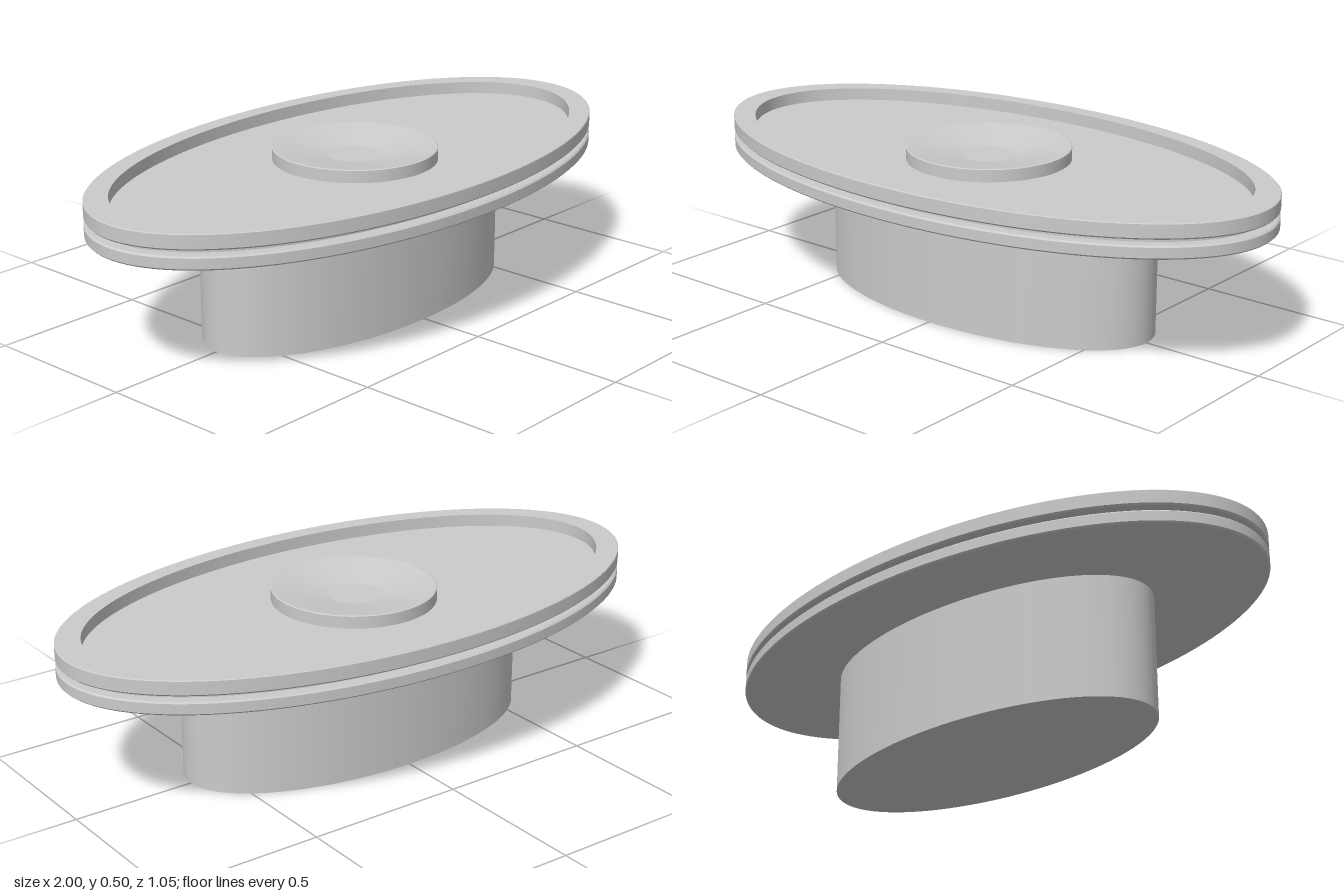
import * as THREE from 'three';
import { toCreasedNormals } from 'three/addons/utils/BufferGeometryUtils.js';

const SEG = 128;

// Skins a stack of elliptical rings [radiusX, radiusZ, y], listed from bottom centre, outward, to top centre
function ellipticLoft(rings, crease) {
  const pos = [], idx = [];
  rings.forEach(([rx, rz, y], r) => {
    for (let i = 0; i < SEG; i++) {
      const a = (i / SEG) * Math.PI * 2;
      pos.push(rx * Math.cos(a), y, rz * Math.sin(a));
      if (r === 0) continue;
      const j = (i + 1) % SEG, lo = (r - 1) * SEG, hi = r * SEG;
      if (rings[r - 1][0] > 0) idx.push(lo + i, hi + i, lo + j);
      if (rx > 0) idx.push(lo + j, hi + i, hi + j);
    }
  });
  const g = new THREE.BufferGeometry();
  g.setAttribute('position', new THREE.Float32BufferAttribute(pos, 3));
  g.setIndex(idx);
  return toCreasedNormals(g, crease);
}

export function createModel() {
  const group = new THREE.Group();
  const material = new THREE.MeshStandardMaterial({ color: 0xcccccc });
  const add = (name, rings, crease = 0.4) => {
    const mesh = new THREE.Mesh(ellipticLoft(rings, crease), material);
    mesh.name = name;
    group.add(mesh);
  };

  // Solid oval pedestal
  add('pedestal', [[0, 0, 0], [0.61, 0.289, 0], [0.61, 0.289, 0.395], [0, 0, 0.395]]);

  // Oval tray: grooved outer edge, raised rim and recessed floor
  const X = 1, Z = 0.524, b = 0.005, groove = 0.037;
  add('tray', [
    [0, 0, 0.394],
    [X - b, Z - b, 0.394],
    [X, Z, 0.394 + b],
    [X, Z, 0.430],
    [X - b, Z - b, 0.435],
    [X - groove, Z - groove, 0.435],
    [X - groove, Z - groove, 0.452],
    [X - b, Z - b, 0.452],
    [X, Z, 0.457],
    [X, Z, 0.5 - b / 2],
    [X - b / 2, Z - b / 2, 0.5],
    [0.919, 0.464, 0.5],
    [0.919, 0.464, 0.46],
    [0, 0, 0.46],
  ]);

  // Round central boss with a shallow dished top
  add('dishedBoss', [
    [0.257, 0.257, 0.459],
    [0.257, 0.257, 0.498],
    [0.253, 0.253, 0.5],
    [0.085, 0.085, 0.472],
    [0, 0, 0.472],
  ], 0.12);

  return group;
}
